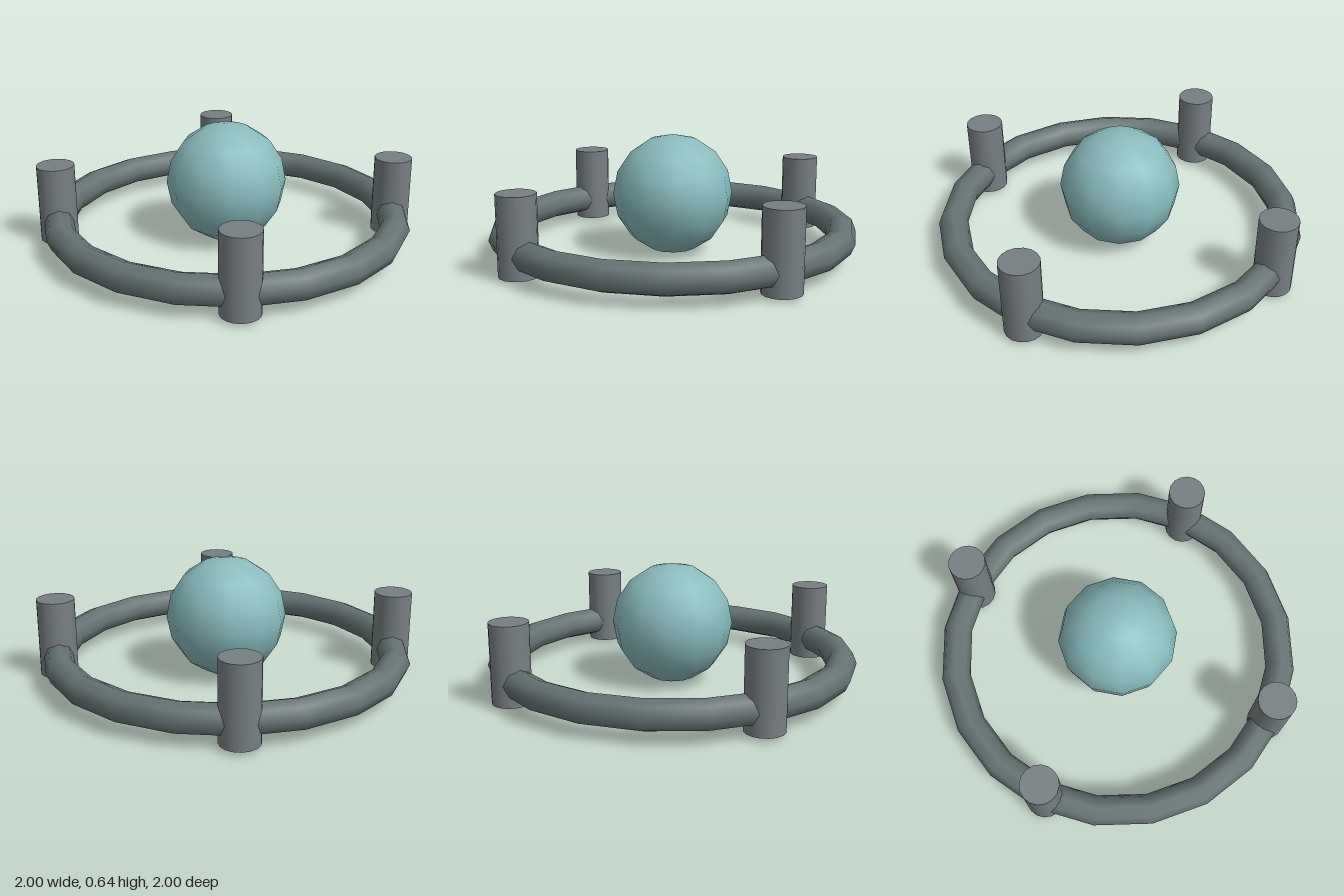
import * as THREE from 'three';

const RING_RADIUS = 0.9;

function part(name, geometry, color, x, y, z) {
  const mesh = new THREE.Mesh(geometry, new THREE.MeshStandardMaterial({ color }));
  mesh.name = name;
  mesh.position.set(x, y, z);
  return mesh;
}

export function createModel() {
  const model = new THREE.Group();
  model.name = 'ringWithOrb';

  // Central floating orb
  model.add(part('orb', new THREE.SphereGeometry(0.319, 12, 8), 0x88bbbd, 0, 0.319, 0));

  // Horizontal ring around the orb
  const ringGeometry = new THREE.TorusGeometry(RING_RADIUS, 0.078, 8, 20).rotateX(Math.PI / 2);
  model.add(part('ring', ringGeometry, 0x667373, 0, 0.13, 0));

  // Four upright posts spaced evenly on the ring
  const postGeometry = new THREE.CylinderGeometry(0.1, 0.1, 0.412, 16);
  for (let i = 0; i < 4; i++) {
    const a = (i * Math.PI) / 2;
    model.add(part('post' + (i + 1), postGeometry, 0x777f82,
      RING_RADIUS * Math.cos(a), 0.224, RING_RADIUS * Math.sin(a)));
  }
  return model;
}
